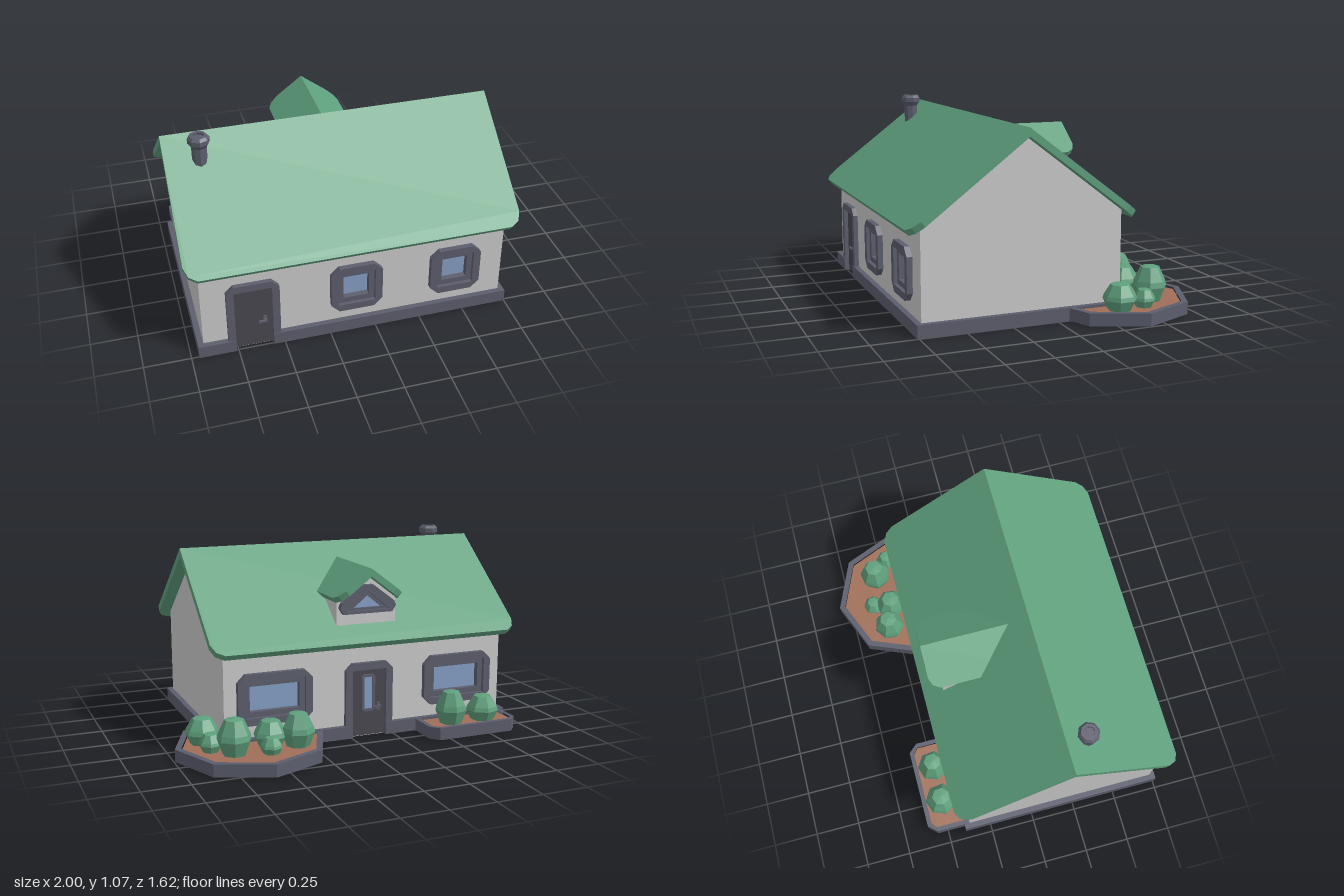
import * as THREE from 'three';

const paint = (color) => new THREE.MeshStandardMaterial({ color, flatShading: true });
const GREY = paint(0xcccccc), GREEN = paint(0x5fa07d), STONE = paint(0x5c5e6d);
const SOIL = paint(0xa06f58), GLASS = paint(0x86a0c6), DOOR = paint(0x484850);

const RIDGE_Z = 0.18, RIDGE_Y = 1.02, SLOPE = 0.754, ROOF_T = 0.036;
const ANGLE = Math.atan(SLOPE), SLANT = Math.hypot(1, SLOPE);

const toVecs = (pts) => pts.map(([x, y]) => new THREE.Vector2(x, y));

function add(parent, name, geometry, material, x = 0, y = 0, z = 0) {
  const mesh = new THREE.Mesh(geometry, material);
  mesh.name = name;
  mesh.position.set(x, y, z);
  parent.add(mesh);
  return mesh;
}

function group(parent, name, x = 0, y = 0, z = 0, turn = 0) {
  const g = new THREE.Group();
  g.name = name;
  g.position.set(x, y, z);
  g.rotation.y = turn;
  parent.add(g);
  return g;
}

// Upright plate from an outline in x, y with optional holes
function plate(outline, depth, holes = []) {
  const shape = new THREE.Shape(toVecs(outline));
  holes.forEach((h) => shape.holes.push(new THREE.Path(toVecs(h))));
  return new THREE.ExtrudeGeometry(shape, { depth, bevelEnabled: false });
}

// Flat slab from an outline in x, z
function slab(outline, height, holes = []) {
  const flip = (pts) => pts.map(([x, z]) => [x, -z]);
  return plate(flip(outline), height, holes.map(flip)).rotateX(-Math.PI / 2);
}

// Rectangle with cut corners, centred on cx, cy
function cutRect(w, h, c, cx = 0, cy = 0) {
  const a = w / 2, b = h / 2;
  return [[-a + c, -b], [a - c, -b], [a, -b + c], [a, b - c], [a - c, b], [-a + c, b], [-a, b - c], [-a, -b + c]]
    .map(([x, y]) => [x + cx, y + cy]);
}

const rect = (x0, x1, y0, y1) => [[x0, y0], [x1, y0], [x1, y1], [x0, y1]];

// Square-cut window, glass set back into the wall
function addWindow(parent, x, w) {
  const g = group(parent, 'window', x, 0.28, 0), h = 0.28;
  add(g, 'windowFrame', plate(cutRect(w, h, 0.045), 0.04, [rect(-w / 2 + 0.04, w / 2 - 0.04, -0.1, 0.1)]), STONE, 0, 0, -0.01);
  add(g, 'windowSash', plate(rect(-w / 2 + 0.035, w / 2 - 0.035, -0.105, 0.105), 0.045,
    [rect(-w / 2 + 0.07, w / 2 - 0.07, -0.07, 0.07)]), STONE, 0, 0, -0.035);
  add(g, 'windowGlass', new THREE.BoxGeometry(w - 0.1, 0.18, 0.01), GLASS, 0, 0, -0.028);
}

// Door with frame and lever, optionally a narrow pane
function addDoor(parent, x, withPane) {
  const g = group(parent, 'door', x);
  const frame = [[-0.14, 0.02], [-0.1, 0.02], [-0.1, 0.38], [0.1, 0.38], [0.1, 0.02], [0.14, 0.02],
    [0.14, 0.38], [0.1, 0.42], [-0.1, 0.42], [-0.14, 0.38]];
  add(g, 'doorFrame', plate(frame, 0.036), STONE, 0, 0, -0.01);
  add(g, 'doorPanel', new THREE.BoxGeometry(0.21, 0.38, 0.02), DOOR, 0, 0.193, -0.008);
  add(g, 'handlePlate', new THREE.BoxGeometry(0.02, 0.045, 0.008), STONE, 0.062, 0.163, 0.005);
  add(g, 'handleStem', new THREE.BoxGeometry(0.012, 0.012, 0.025), STONE, 0.062, 0.168, 0.015);
  add(g, 'handleLever', new THREE.BoxGeometry(0.045, 0.012, 0.01), STONE, 0.045, 0.168, 0.027);
  if (withPane) {
    add(g, 'paneFrame', plate(cutRect(0.08, 0.21, 0.012), 0.012, [rect(-0.024, 0.024, -0.09, 0.09)]), STONE, 0, 0.245, 0);
    add(g, 'paneGlass', new THREE.BoxGeometry(0.05, 0.185, 0.004), GLASS, 0, 0.245, 0.003);
  }
}

// One sloping roof side falling toward +z; run = horizontal reach, cut flags trim the eave corners
function roofSide(x0, x1, run, c, cutLeft = true, cutRight = true) {
  const L = run * SLANT;
  const pts = [[x0, 0]];
  pts.push(...(cutLeft ? [[x0, L - c], [x0 + 0.25 * c, L - 0.35 * c], [x0 + 0.8 * c, L]] : [[x0, L]]));
  pts.push(...(cutRight ? [[x1 - 0.8 * c, L], [x1 - 0.25 * c, L - 0.35 * c], [x1, L - c]] : [[x1, L]]));
  pts.push([x1, 0]);
  return slab(pts, ROOF_T).translate(0, -ROOF_T, 0).rotateX(ANGLE);
}

// Rounded low-poly bush
function addBush(parent, x, z, r, top) {
  const base = 0.045, h = top - base;
  const profile = [[0, 0], [0.65, 0], [1, 0.45], [0.92, 0.6], [0.55, 0.97], [0, 1]].map(([a, b]) => [a * r, b * h]);
  const bush = add(parent, 'bush', new THREE.LatheGeometry(toVecs(profile), 7), GREEN, x, base, z);
  bush.rotation.y = x * 9;
}

// Planter with raised rim and soil
function addBed(parent, name, outer, inner) {
  const g = group(parent, name);
  add(g, 'bedRim', slab(outer, 0.068, [inner]), STONE);
  add(g, 'bedSoil', slab(inner, 0.055), SOIL);
  return g;
}

export function createModel() {
  const house = new THREE.Group();
  house.name = 'house';

  // Foundation with a notch at each door
  add(house, 'foundation', slab([[-0.96, -0.4], [-0.205, -0.4], [-0.205, -0.345], [-0.005, -0.345], [-0.005, -0.4],
    [0.75, -0.4], [0.75, 0.76], [-0.56, 0.76], [-0.56, 0.705], [-0.76, 0.705], [-0.76, 0.76], [-0.96, 0.76]], 0.07), STONE);

  // Gable ends
  const gable = [[-0.55, 0.03], [0.55, 0.03], [0.55, 0.565], [0, 0.985], [-0.55, 0.565]];
  for (const x of [-0.93, 0.68])
    add(house, 'gableWall', plate(gable, 0.04).rotateY(Math.PI / 2), GREY, x, 0, RIDGE_Z);

  // Long walls: local +z faces outward; windows as [x, width]
  const sides = [
    { name: 'front', z: 0.73, turn: 0, mid: -0.105, door: -0.555, windows: [[0, 0.28], [0.55, 0.28]], pane: false },
    { name: 'back', z: -0.37, turn: Math.PI, mid: -0.105, door: 0, windows: [[-0.545, 0.42], [0.545, 0.42]], pane: true },
  ];
  for (const s of sides) {
    const g = group(house, s.name + 'Side', s.mid, 0, s.z, s.turn);
    const holes = s.windows.map(([x, w]) => rect(x - w / 2 + 0.04, x + w / 2 - 0.04, 0.18, 0.38));
    holes.push(rect(s.door - 0.1, s.door + 0.1, 0.003, 0.38));
    add(g, s.name + 'Wall', plate(rect(-0.79, 0.79, 0, 0.57), 0.04, holes), GREY, 0, 0, -0.04);
    s.windows.forEach(([x, w]) => addWindow(g, x, w));
    addDoor(g, s.door, s.pane);
  }

  // Main roof, mirrored about the ridge
  const roof = group(house, 'mainRoof', -0.105, RIDGE_Y, RIDGE_Z);
  for (const turn of [0, Math.PI])
    add(roof, 'roofSide', roofSide(-0.895, 0.895, 0.63, 0.08), GREEN).rotation.y = turn;

  // Dormer, facing the back
  const dormer = group(house, 'dormer', -0.105, 0, -0.34, Math.PI);
  add(dormer, 'dormerWall', plate([[-0.175, 0.5], [0.175, 0.5], [0.175, 0.77], [0, 0.905], [-0.175, 0.77]], 0.36), GREY, 0, 0, -0.36);
  const triangle = (k) => [[-0.145, 0.69], [0.145, 0.69], [0.165, 0.725], [0.155, 0.75], [0.03, 0.845], [-0.03, 0.845], [-0.155, 0.75], [-0.165, 0.725]]
    .map(([x, y]) => [x * k, 0.75 + (y - 0.75) * k]);
  const pane = (k) => [[-0.15, 0.7], [0.15, 0.7], [0, 0.82]].map(([x, y]) => [x * k, 0.745 + (y - 0.745) * k]);
  add(dormer, 'dormerWindowFrame', plate(triangle(1), 0.03, [pane(0.85)]), STONE);
  add(dormer, 'dormerWindowSash', plate(pane(0.87), 0.015, [pane(0.55)]), STONE);
  add(dormer, 'dormerGlass', plate(pane(0.6), 0.005), GLASS);
  const dormerRoof = group(dormer, 'dormerRoof', 0, 0.94, 0);
  for (const s of [1, -1]) {
    const side = add(dormerRoof, 'dormerRoofSide', s > 0
      ? roofSide(-0.07, 0.45, 0.205, 0.07, true, false)
      : roofSide(-0.45, 0.07, 0.205, 0.07, false, true), GREEN);
    side.rotation.y = s * Math.PI / 2;
  }

  // Chimney
  const flue = [[0.04, -0.06], [0.04, 0.1], [0.058, 0.125], [0.058, 0.15], [0.045, 0.165], [0.03, 0.165], [0.03, 0.15], [0, 0.15]];
  add(house, 'chimney', new THREE.LatheGeometry(toVecs(flue), 8), STONE, -0.815, 0.9, 0.3);

  // Eight-sided corner bed
  const ring = (r) => Array.from({ length: 8 }, (_, i) =>
    [0.585 + r * Math.cos(i * Math.PI / 4), -0.405 + r * Math.sin(i * Math.PI / 4)]);
  const corner = addBed(house, 'cornerBed', ring(0.41), ring(0.375));
  [[0.37, -0.54, 0.09, 0.235], [0.54, -0.605, 0.06, 0.14], [0.51, -0.5, 0.09, 0.2], [0.72, -0.55, 0.092, 0.245],
    [0.82, -0.46, 0.062, 0.15], [0.825, -0.315, 0.092, 0.195]].forEach((b) => addBush(corner, ...b));

  // Small bed at the back wall
  const bedOutline = (m) => [[-0.93 + m, -0.38], [-0.93 + m, -0.56], [-0.885 + m * 0.5, -0.61 + m],
    [-0.435 - m * 0.5, -0.61 + m], [-0.39 - m, -0.56], [-0.39 - m, -0.38]];
  const smallBed = addBed(house, 'smallBed', bedOutline(0),
    bedOutline(0.025).map(([x, z]) => [x, z === -0.38 ? -0.39 : z]));
  addBush(smallBed, -0.76, -0.495, 0.092, 0.195);
  addBush(smallBed, -0.56, -0.495, 0.088, 0.24);

  return house;
}
